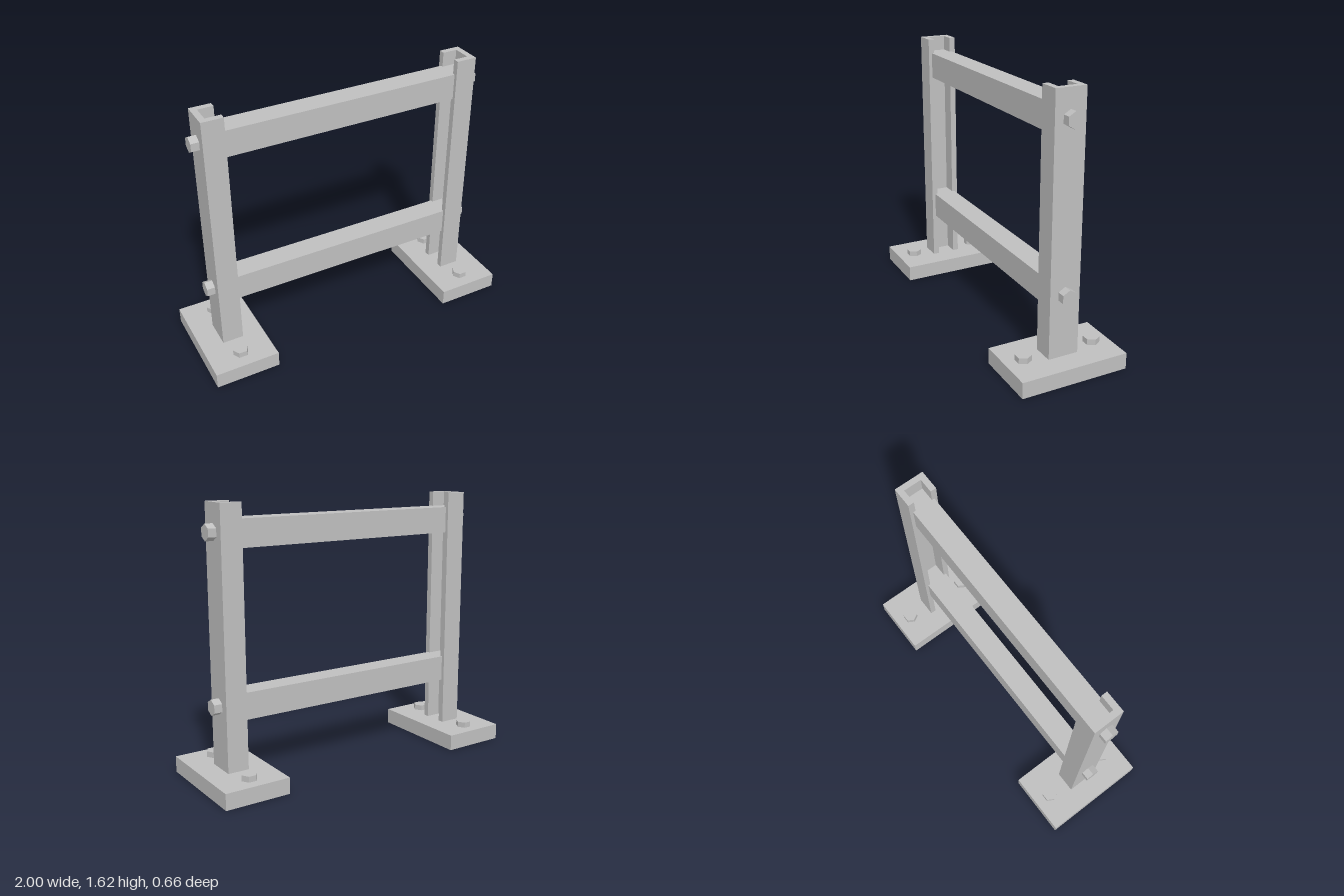
import * as THREE from 'three';

export function createModel() {
  const model = new THREE.Group();
  model.name = 'railFrame';
  const steel = new THREE.MeshStandardMaterial({ color: 0xbfbfbf });
  steel.name = 'grey steel';

  const add = (parent, name, geometry, x, y, z) => {
    const mesh = new THREE.Mesh(geometry, steel);
    mesh.name = name;
    mesh.position.set(x, y, z);
    parent.add(mesh);
  };

  // Hexagonal bolt head along y, corners pointing to +x and -x
  const boltHead = (height) =>
    new THREE.CylinderGeometry(0.048, 0.048, height, 6).toNonIndexed().rotateY(Math.PI / 6);
  const flat = (geometry) => { geometry.computeVertexNormals(); return geometry; };

  // Upright C-channel, open towards the middle of the frame
  const channel = (side) => {
    const points = [
      [0.733, -0.093], [0.863, -0.093], [0.863, 0.093], [0.733, 0.093],
      [0.733, 0.056], [0.826, 0.056], [0.826, -0.056], [0.733, -0.056],
    ];
    const shape = new THREE.Shape(points.map(([x, z]) => new THREE.Vector2(x * side, z)));
    return new THREE.ExtrudeGeometry(shape, { depth: 1.525, bevelEnabled: false }).rotateX(-Math.PI / 2);
  };

  const beamHeights = [0.469, 1.452];
  const sideBoltHeights = [0.476, 1.461];

  for (const side of [-1, 1]) {
    const post = new THREE.Group();
    post.name = side > 0 ? 'leftPost' : 'rightPost';
    model.add(post);

    add(post, 'basePlate', new THREE.BoxGeometry(0.4, 0.098, 0.664), side * 0.8, 0.049, 0);
    add(post, 'uprightChannel', channel(side), 0, 0.098, 0);

    // Anchor bolts in front of and behind the upright
    for (const z of [-0.226, 0.218])
      add(post, 'anchorBolt', flat(boltHead(0.035)), side * 0.8, 0.1155, z);

    // Bolts through the web into the beams
    for (const y of sideBoltHeights)
      add(post, 'beamBolt', flat(boltHead(0.049).rotateZ(-Math.PI / 2)), side * 0.8875, y, 0);
  }

  // Horizontal beams reaching the webs of both channels
  for (const y of beamHeights)
    add(model, 'crossBeam', new THREE.BoxGeometry(1.652, 0.161, 0.144), 0, y, 0);

  return model;
}
